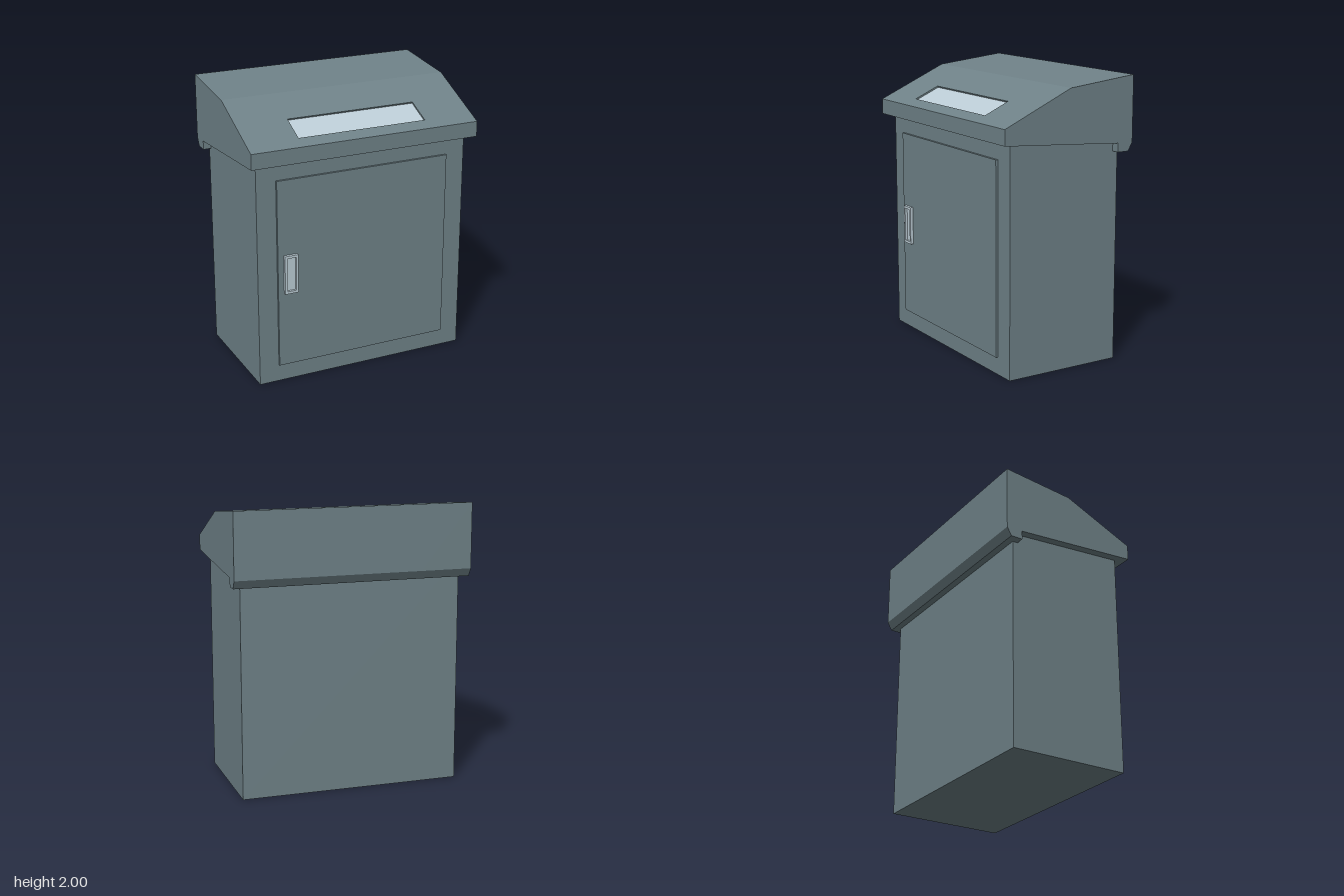
import * as THREE from 'three';

const paint = new THREE.MeshStandardMaterial({ color: 0x6f8288 });
paint.name = 'slate grey paint';
const metal = new THREE.MeshStandardMaterial({ color: 0xbccdd6 });
metal.name = 'pale steel';

function add(parent, name, geometry, material) {
  const mesh = new THREE.Mesh(geometry, material);
  mesh.name = name;
  parent.add(mesh);
  return mesh;
}

// Box given by its limits on each axis
function box(x0, x1, y0, y1, z0, z1) {
  return new THREE.BoxGeometry(x1 - x0, y1 - y0, z1 - z0)
    .translate((x0 + x1) / 2, (y0 + y1) / 2, (z0 + z1) / 2);
}

// Side profile of [z, y] points, extruded along x
function profile(points, x0, x1) {
  const shape = new THREE.Shape(points.map(([z, y]) => new THREE.Vector2(-z, y)));
  return new THREE.ExtrudeGeometry(shape, { depth: x1 - x0, bevelEnabled: false })
    .rotateY(Math.PI / 2).translate(x0, 0, 0);
}

function rect(path, x0, x1, y0, y1) {
  return path.moveTo(x0, y0).lineTo(x1, y0).lineTo(x1, y1).lineTo(x0, y1).closePath();
}

export function createModel() {
  const model = new THREE.Group();
  model.name = 'dropBox';

  // Cabinet and door
  add(model, 'cabinet', box(-0.787, 0.787, 0, 1.6, -0.43, 0.435), paint);
  add(model, 'door', box(-0.645, 0.642, 0.125, 1.482, 0.43, 0.452), paint);

  // Door handle: raised frame around a shallow finger recess
  const handle = new THREE.Group();
  handle.name = 'handle';
  model.add(handle);
  const frame = rect(new THREE.Shape(), -0.603, -0.505, 0.667, 0.945);
  frame.holes.push(rect(new THREE.Path(), -0.585, -0.52, 0.685, 0.927));
  add(handle, 'handleFrame',
    new THREE.ExtrudeGeometry(frame, { depth: 0.022, bevelEnabled: false }).translate(0, 0, 0.452), metal);
  add(handle, 'handleRecess', box(-0.59, -0.515, 0.68, 0.932, 0.45, 0.457), metal);

  // Hood: full sections either side of a notched middle section
  const lid = new THREE.Group();
  lid.name = 'hood';
  model.add(lid);
  const half = 0.845, slot = 0.474, depth = 0.015;
  const eave = [0.512, 1.715], ridge = [0, 1.944];
  const rest = [[-0.512, 2], [-0.512, 1.54], [-0.478, 1.482], [-0.392, 1.482], [-0.392, 1.544], [0.512, 1.606]];
  const dz = eave[0] - ridge[0], dy = eave[1] - ridge[1], len = Math.hypot(dz, dy);
  const onSlope = (z, sink) => [z + sink * dy / len, ridge[1] + dy * z / dz - sink * dz / len];
  const notch = [onSlope(0.43, 0), onSlope(0.43, depth), onSlope(0.25, depth), onSlope(0.25, 0)];
  add(lid, 'hoodRight', profile([eave, ridge, ...rest], -half, -slot), paint);
  add(lid, 'hoodLeft', profile([eave, ridge, ...rest], slot, half), paint);
  add(lid, 'hoodMiddle', profile([eave, ...notch, ridge, ...rest], -slot, slot), paint);

  // Pale flap lying in the slot
  const flap = [onSlope(0.43, depth - 0.004), onSlope(0.25, depth - 0.004), onSlope(0.25, depth), onSlope(0.43, depth)];
  add(lid, 'slotFlap', profile(flap, -slot, slot), metal);

  return model;
}
